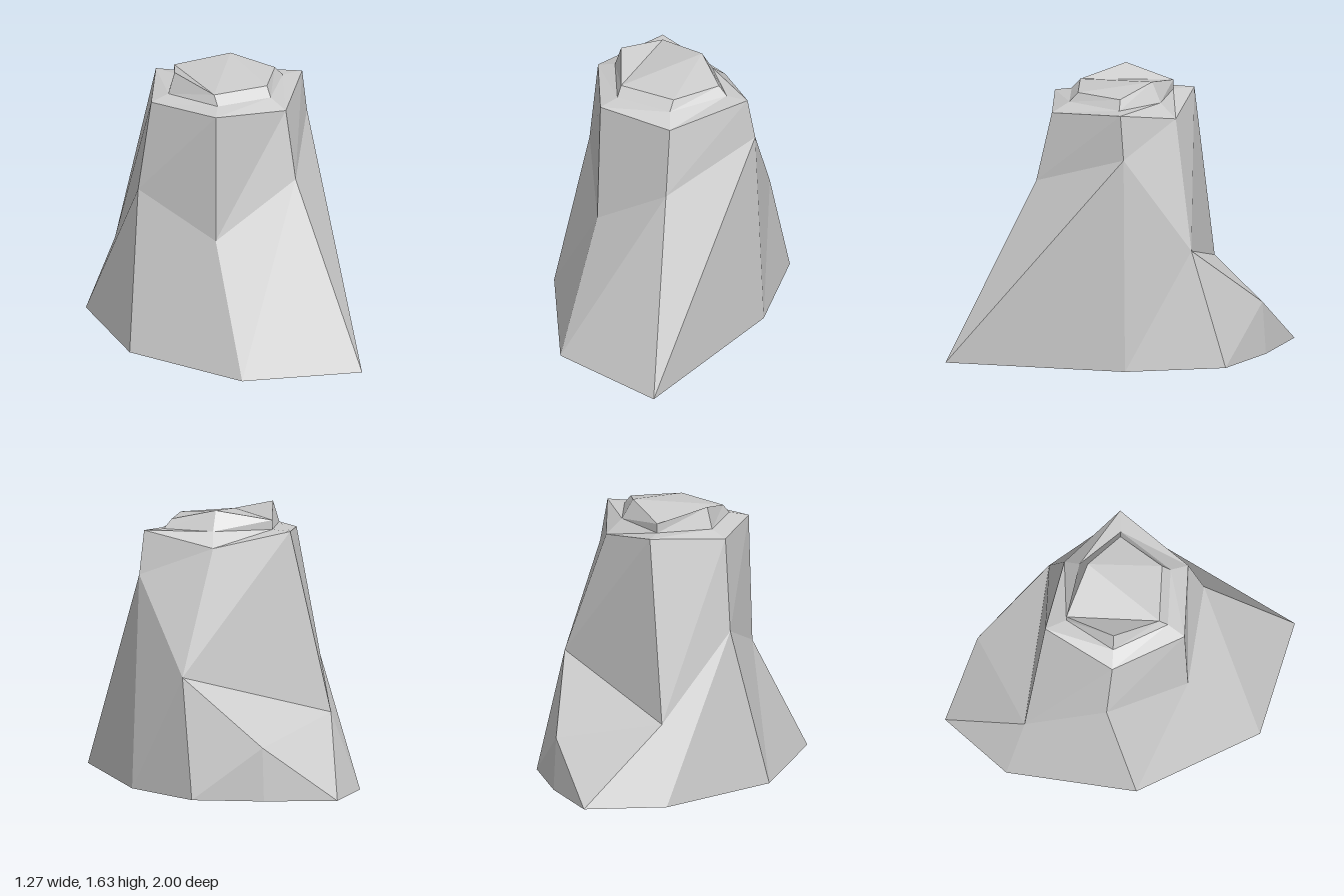
import * as THREE from 'three';

// Cross-section rings, each running front-left, front-right, right, back, left
const base = [
  [-0.25, 0, 0.83], [0.44, 0, 1], [0.63, 0, -0.05], [0.51, 0, -0.63],
  [0.15, 0, -0.85], [-0.25, 0, -1], [-0.56, 0, -0.63], [-0.64, 0, 0.13],
];
const waist = [
  [-0.22, 0.72, 0.41], [0.26, 1.05, 0.48], [0.58, 1.25, -0.04],
  [0.48, 0.69, -0.43], [-0.42, 0.45, -0.53], [-0.5, 0.93, -0.05],
];
const shoulder = [
  [-0.21, 1.48, 0.39], [0.24, 1.45, 0.39], [0.54, 1.505, -0.02],
  [0.24, 1.42, -0.33], [-0.21, 1.505, -0.42], [-0.43, 1.47, -0.02],
];
const capFoot = [
  [-0.15, 1.505, 0.29], [0.19, 1.505, 0.29], [0.41, 1.505, -0.01],
  [0.2, 1.505, -0.24], [-0.15, 1.505, -0.3], [-0.32, 1.505, -0.02],
];
const capTop = [
  [-0.15, 1.56, 0.24], [0.19, 1.56, 0.24], [0.36, 1.56, -0.01],
  [0.16, 1.62, -0.19], [-0.15, 1.56, -0.3], [-0.28, 1.63, -0.02],
];
// Ledge jutting out of the back, between the waist and the base
const ledge = [0.15, 0.31, -0.83];

// Joins two closed rings; each step moves along the upper (U) or lower (L) ring
function zip(lower, upper, steps) {
  const tris = [];
  let i = 0, j = 0;
  const lo = (k) => lower[k % lower.length];
  const up = (k) => upper[k % upper.length];
  for (const s of steps) {
    if (s === 'U') tris.push([lo(i), up(j + 1), up(j++)]);
    else tris.push([lo(i), lo(i + 1), up(j)]), i++;
  }
  return tris;
}

export function createModel() {
  const group = new THREE.Group();
  group.name = 'rock';
  const material = new THREE.MeshStandardMaterial({ color: 0xcccccc, flatShading: true });

  const add = (name, tris) => {
    const geometry = new THREE.BufferGeometry();
    geometry.setAttribute('position', new THREE.Float32BufferAttribute(tris.flat(2), 3));
    geometry.computeVertexNormals();
    const mesh = new THREE.Mesh(geometry, material);
    mesh.name = name;
    group.add(mesh);
  };

  // Spreading foot of the rock, with the back ledge inserted in its upper edge
  const skirtTop = [...waist.slice(0, 4), ledge, ...waist.slice(4)];
  add('lowerSlopes', [
    ...zip(base, skirtTop, 'ULULULULLULULUL'),
    [waist[3], ledge, waist[4]],
  ]);

  // Steep upper walls, sloping rim and small raised cap
  const even = 'UL'.repeat(6);
  add('upperWalls', zip(waist, shoulder, even));
  add('rim', zip(shoulder, capFoot, even));
  add('capSides', zip(capFoot, capTop, even));
  const capFaces = [[0, 1, 3], [1, 2, 3], [0, 3, 4], [0, 4, 5]];
  add('capTop', capFaces.map((f) => f.map((k) => capTop[k])));

  // Flat underside
  add('underside', base.slice(2).map((p, k) => [base[0], p, base[k + 1]]));

  return group;
}
